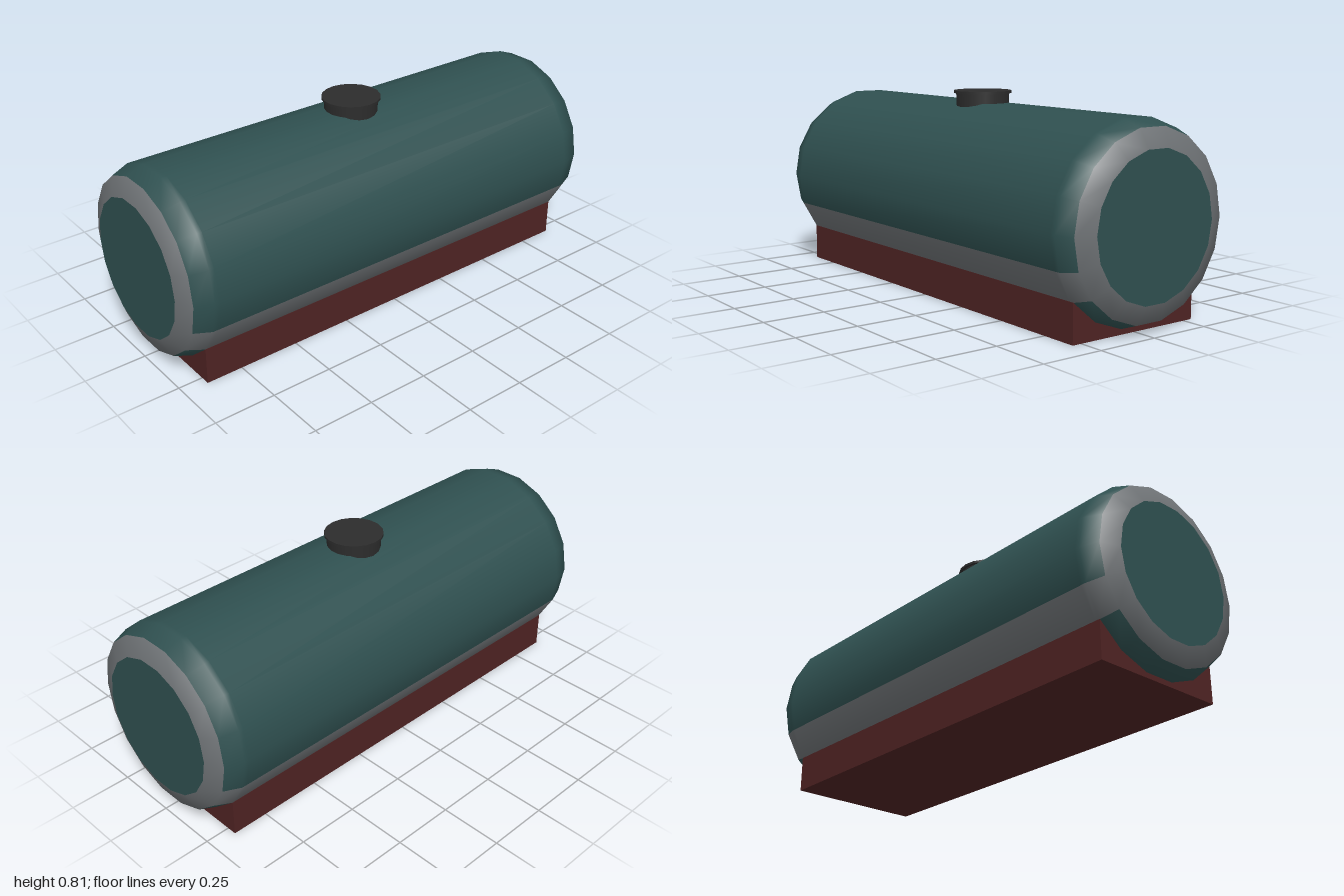
import * as THREE from 'three';

const mat = (name, color) => {
  const m = new THREE.MeshStandardMaterial({ color });
  m.name = name;
  return m;
};

export function createModel() {
  const model = new THREE.Group();
  model.name = 'storageTank';

  const teal = mat('dark teal', 0x2f5050);
  const grey = mat('grey', 0x6d7174);
  const maroon = mat('maroon', 0x4f2323);
  const black = mat('charcoal', 0x2c2c2c);

  const add = (name, geometry, material, x, y, z) => {
    const mesh = new THREE.Mesh(geometry, material);
    mesh.name = name;
    mesh.position.set(x, y, z);
    model.add(mesh);
    return mesh;
  };

  const SIDES = 18, CENTRE_Y = 0.391, CAP_R = 0.276;

  // Tank shell: rounded-end profile turned around the x axis
  const half = [[CAP_R, 1], [0.35, 0.97], [0.376, 0.9], [0.376, 0.88]];
  const profile = [
    ...half.map(([r, x]) => new THREE.Vector2(r, -x)),
    ...half.slice().reverse().map(([r, x]) => new THREE.Vector2(r, x)),
  ];
  const shell = new THREE.LatheGeometry(profile, SIDES);
  shell.rotateZ(-Math.PI / 2);

  // Grey end rings and one grey stripe low on each side
  const rows = profile.length - 1;
  for (let i = 0; i < SIDES; i++) {
    for (let j = 0; j < rows; j++) {
      const isGrey = j === 0 || j === rows - 1 || i === 1 || i === 7;
      shell.addGroup((i * rows + j) * 6, 6, isGrey ? 1 : 0);
    }
  }
  add('tankShell', shell, [teal, grey], 0, CENTRE_Y, 0);

  // Flat end caps
  for (const side of [-1, 1]) {
    const cap = new THREE.CircleGeometry(CAP_R, SIDES);
    cap.rotateY(side * Math.PI / 2);
    add(side > 0 ? 'leftEndCap' : 'rightEndCap', cap, teal, side, CENTRE_Y, 0);
  }

  // Base block
  add('base', new THREE.BoxGeometry(1.8, 0.15, 0.578), maroon, 0, 0.075, 0);

  // Filler hatch on top
  add('hatchNeck', new THREE.CylinderGeometry(0.108, 0.108, 0.08, SIDES), black, 0, 0.76, 0);
  add('hatchLid', new THREE.CylinderGeometry(0.118, 0.118, 0.01, SIDES), black, 0, 0.805, 0);

  return model;
}
